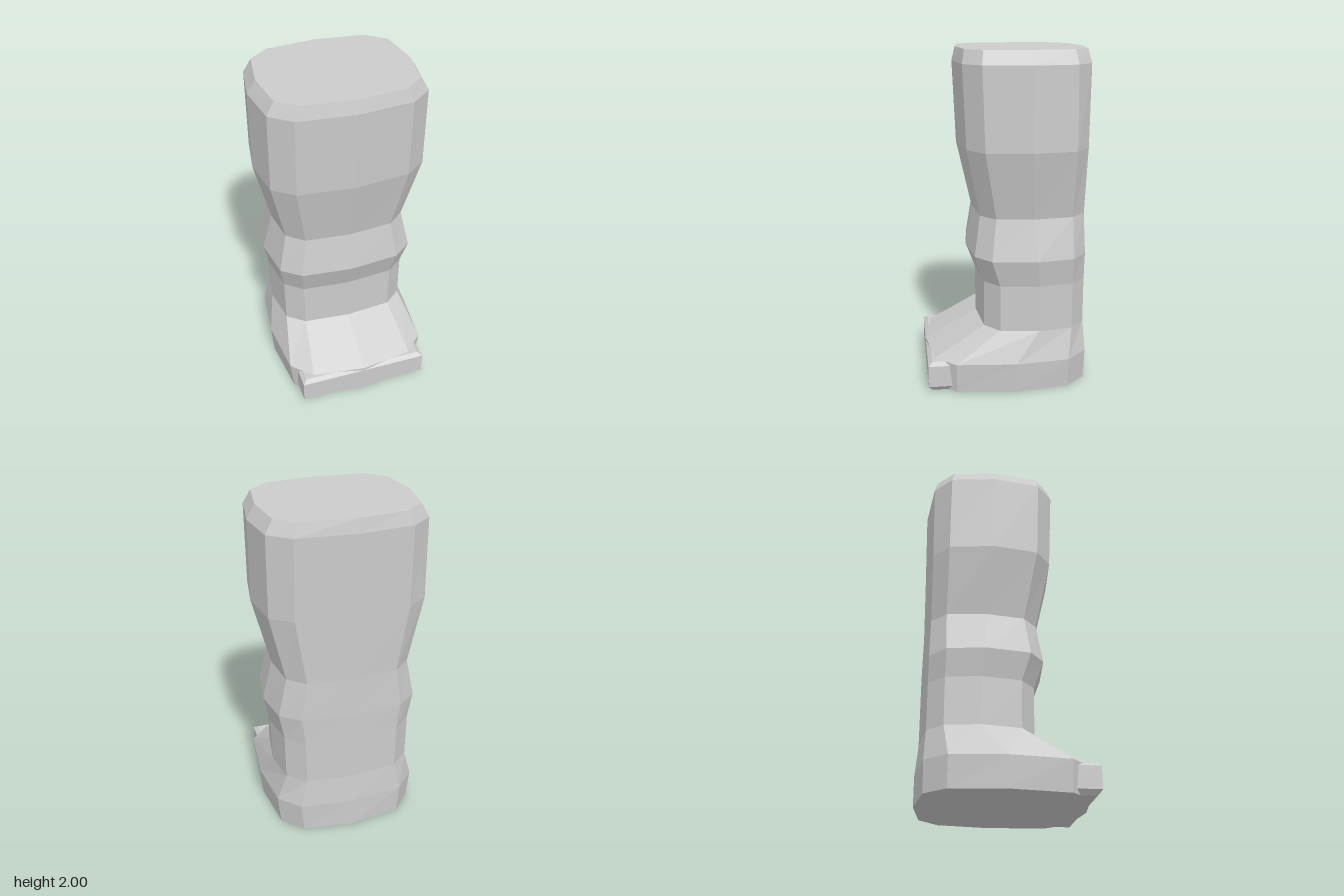
import * as THREE from 'three';

const material = new THREE.MeshStandardMaterial({ color: 0xcccccc, flatShading: true });

// Skin a stack of equal-length rings (bottom to top) and close both ends.
function loft(rings, name) {
  const n = rings[0].length;
  const positions = rings.flat(2);
  const index = [];
  for (let r = 0; r < rings.length - 1; r++) {
    for (let i = 0; i < n; i++) {
      const a = r * n + i, b = r * n + (i + 1) % n;
      index.push(a, b, b + n, a, b + n, a + n);
    }
  }
  const top = (rings.length - 1) * n;
  for (let i = 1; i < n - 1; i++) {
    index.push(0, i + 1, i, top, top + i, top + i + 1);
  }
  const geometry = new THREE.BufferGeometry();
  geometry.setAttribute('position', new THREE.Float32BufferAttribute(positions, 3));
  geometry.setIndex(index);
  const flat = geometry.toNonIndexed();
  flat.computeVertexNormals();
  const mesh = new THREE.Mesh(flat, material);
  mesh.name = name;
  return mesh;
}

// Twelve-sided ring, mirrored in x.
// xs: half widths of shoulder, corner and side; zs: front to back.
function bootRing([y, xs, zs]) {
  const [shoulder, corner, side] = xs;
  const half = [0, shoulder, corner, side, corner, shoulder, 0].map((x, i) => [x, y, zs[i]]);
  const mirrored = half.slice(1, 6).reverse().map(([x, h, z]) => [-x, h, z]);
  return [...half, ...mirrored];
}

// Rectangular ring for the toe bar, drawn in by an inset.
function barRing([y, inset]) {
  const x = 0.4 - inset, front = 0.5 - inset, back = 0.3 + inset;
  return [[-x, y, front], [x, y, front], [x, y, back], [-x, y, back]];
}

export function createModel() {
  const group = new THREE.Group();
  group.name = 'boot';

  // Boot and leg: sole, toe, ankle, knee, thigh and bevelled top
  const sections = [
    [0.00, [0.305, 0.42, 0.46], [0.497, 0.455, 0.335, -0.02, -0.335, -0.455, -0.497]],
    [0.18, [0.32, 0.44, 0.475], [0.50, 0.455, 0.335, -0.02, -0.335, -0.46, -0.497]],
    [0.36, [0.28, 0.385, 0.42], [0.18, 0.155, 0.07, -0.16, -0.36, -0.45, -0.48]],
    [0.64, [0.285, 0.39, 0.425], [0.18, 0.155, 0.07, -0.16, -0.36, -0.45, -0.48]],
    [0.80, [0.305, 0.42, 0.46], [0.24, 0.21, 0.12, -0.14, -0.36, -0.45, -0.48]],
    [1.04, [0.27, 0.37, 0.40], [0.20, 0.175, 0.09, -0.13, -0.36, -0.445, -0.475]],
    [1.44, [0.335, 0.46, 0.50], [0.29, 0.255, 0.16, -0.10, -0.36, -0.45, -0.48]],
    [1.92, [0.335, 0.46, 0.50], [0.31, 0.275, 0.175, -0.10, -0.357, -0.457, -0.488]],
    [2.00, [0.30, 0.415, 0.45], [0.29, 0.26, 0.165, -0.09, -0.345, -0.44, -0.473]],
  ];
  group.add(loft(sections.map(bootRing), 'bootLeg'));

  // Bevelled bar across the toe
  const layers = [[0, 0.025], [0.03, 0], [0.16, 0], [0.18, 0.025]];
  group.add(loft(layers.map(barRing), 'toeBar'));

  return group;
}
